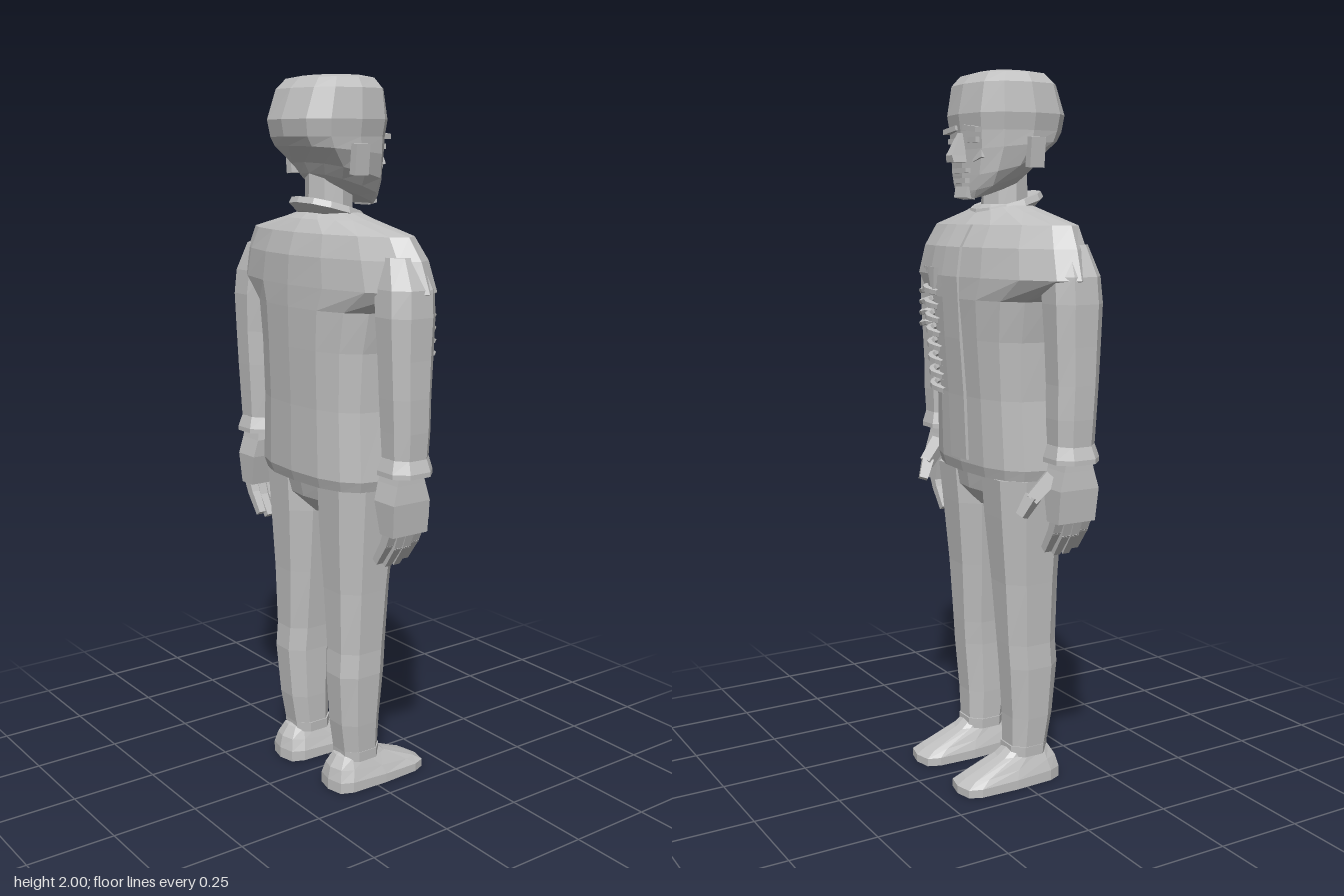
import * as THREE from 'three';

const grey = new THREE.MeshStandardMaterial({ color: 0xc0c0c0, flatShading: true, side: THREE.DoubleSide });
grey.name = 'plain grey';

// Skin of stacked rings, bottom to top.
// section: [y, centreX, halfWidth, zFront, zBack, squareness, tilt]; skip(j, i) leaves a quad open
function loft(name, sections, n = 8, skip = () => false) {
  const pos = [], idx = [];
  const off = n === 4 ? Math.PI / 4 : n === 8 ? Math.PI / 8 : 0;
  const bend = (v, p) => Math.sign(v) * Math.pow(Math.abs(v) + 1e-9, 2 / p);
  for (const [y, cx, hx, zf, zb, p = 2.5, tilt = 0] of sections) {
    for (let i = 0; i < n; i++) {
      const a = off + (i / n) * Math.PI * 2;
      const z = (zf + zb) / 2 + ((zb - zf) / 2) * bend(Math.sin(a), p);
      pos.push(cx + hx * bend(Math.cos(a), p), y + tilt * z, z);
    }
  }
  for (let j = 0; j < sections.length - 1; j++) {
    for (let i = 0; i < n; i++) {
      if (skip(j, i)) continue;
      const a = j * n + i, b = j * n + ((i + 1) % n);
      idx.push(a, a + n, b, b, a + n, b + n);
    }
  }
  // end caps
  [0, sections.length - 1].forEach((j, top) => {
    const [y, cx, , zf, zb, , tilt = 0] = sections[j], z = (zf + zb) / 2;
    const c = pos.length / 3;
    pos.push(cx, y + tilt * z, z);
    for (let i = 0; i < n; i++) {
      const a = j * n + i, b = j * n + ((i + 1) % n);
      top ? idx.push(c, b, a) : idx.push(c, a, b);
    }
  });
  const g = new THREE.BufferGeometry();
  g.setAttribute('position', new THREE.Float32BufferAttribute(pos, 3));
  g.setIndex(idx);
  g.computeVertexNormals();
  return part(name, g);
}

function part(name, geometry) {
  const m = new THREE.Mesh(geometry, grey);
  m.name = name;
  return m;
}

function box(name, w, h, d, x, y, z, rx = 0, rz = 0) {
  const m = part(name, new THREE.BoxGeometry(w, h, d));
  m.position.set(x, y, z);
  m.rotation.set(rx, 0, rz);
  return m;
}

// Tapered square bar between two points
function bar(name, from, to, r0, r1) {
  const a = new THREE.Vector3(...from), b = new THREE.Vector3(...to), d = b.clone().sub(a);
  const g = new THREE.CylinderGeometry(r1, r0, d.length(), 4);
  g.rotateY(Math.PI / 4);
  const m = part(name, g);
  m.position.copy(a).add(b).multiplyScalar(0.5);
  m.quaternion.setFromUnitVectors(new THREE.Vector3(0, 1, 0), d.normalize());
  return m;
}

function tube(name, points, r) {
  const curve = new THREE.CatmullRomCurve3(points.map(p => new THREE.Vector3(...p)));
  return part(name, new THREE.TubeGeometry(curve, 6, r, 5));
}

function makeTorso() {
  const g = new THREE.Group();
  g.name = 'torso';
  // jacket, open over the ribs on one side of the chest
  g.add(loft('jacket', [
    [0.90, 0, 0.235, -0.10, 0.155, 2.6],
    [0.93, 0, 0.245, -0.108, 0.165, 2.6],
    [1.12, 0, 0.235, -0.115, 0.165, 2.6],
    [1.28, 0, 0.245, -0.128, 0.17, 2.5],
    [1.39, 0, 0.27, -0.138, 0.172, 2.4],
    [1.45, 0, 0.415, -0.138, 0.172, 1.8],
    [1.53, 0, 0.385, -0.125, 0.168, 1.8],
    [1.59, 0, 0.345, -0.09, 0.15, 1.8],
    [1.625, 0, 0.17, -0.055, 0.125, 2],
    [1.645, 0, 0.09, -0.035, 0.10, 2],
  ], 16, (j, i) => j >= 2 && j <= 3 && (i === 13 || i === 14)));
  // front closure strip
  g.add(loft('frontStrip', [
    [0.94, 0, 0.045, -0.114, -0.09, 20], [1.12, 0, 0.045, -0.122, -0.09, 20],
    [1.28, 0, 0.045, -0.134, -0.1, 20], [1.45, 0, 0.045, -0.143, -0.1, 20],
    [1.53, 0, 0.04, -0.13, -0.09, 20], [1.59, 0, 0.04, -0.095, -0.06, 20],
  ], 4));
  g.add(loft('chestWall', [
    [1.08, 0.14, 0.08, -0.075, 0.05], [1.28, 0.14, 0.085, -0.09, 0.05], [1.44, 0.14, 0.09, -0.09, 0.05],
  ], 8));
  // exposed ribs
  for (let k = 0; k < 8; k++) {
    const y = 1.12 + k * 0.04, f = k * 0.003;
    g.add(tube('rib', [[0.085, y, -0.108 - f], [0.15, y + 0.005, -0.109 - f], [0.2, y + 0.012, -0.085 - f], [0.235, y + 0.02, -0.03]], 0.011));
  }
  // torn cloth along the top of the opening
  for (let k = 0; k < 5; k++)
    g.add(bar('tornCloth', [0.1 + k * 0.028, 1.47, -0.13 + k * 0.01], [0.1 + k * 0.028, 1.41 - (k % 2) * 0.02, -0.137 + k * 0.012], 0.018, 0.004));
  g.add(loft('collar', [
    [1.612, 0, 0.085, -0.05, 0.12, 2.2, 0.28], [1.63, 0, 0.106, -0.06, 0.14, 2.2, 0.28],
    [1.648, 0, 0.1, -0.055, 0.132, 2.2, 0.28], [1.642, 0, 0.072, -0.03, 0.1, 2.2, 0.28],
  ], 12));
  // trouser top
  g.add(loft('hips', [
    [0.80, 0, 0.04, -0.04, 0.08], [0.85, 0, 0.18, -0.08, 0.125], [0.92, 0, 0.23, -0.09, 0.14],
  ], 12));
  return g;
}

function makeArm(s) {
  const g = new THREE.Group();
  g.name = s > 0 ? 'leftArm' : 'rightArm';
  g.add(loft('sleeve', [
    [0.99, s * 0.345, 0.055, -0.025, 0.095], [1.09, s * 0.345, 0.062, -0.03, 0.1],
    [1.18, s * 0.345, 0.065, -0.03, 0.105], [1.28, s * 0.345, 0.066, -0.035, 0.11],
    [1.39, s * 0.342, 0.073, -0.04, 0.115], [1.46, s * 0.335, 0.076, -0.04, 0.11],
    [1.54, s * 0.31, 0.06, -0.02, 0.09],
  ], 8));
  g.add(loft('cuff', [
    [0.972, s * 0.345, 0.07, -0.036, 0.108], [0.985, s * 0.345, 0.07, -0.036, 0.108], [1.02, s * 0.345, 0.056, -0.027, 0.097],
  ], 8));
  // hand with curled fingers and thumb
  g.add(loft('palm', [
    [0.81, s * 0.345, 0.03, -0.025, 0.1, 10], [0.9, s * 0.34, 0.045, -0.025, 0.105, 10], [0.95, s * 0.337, 0.045, -0.01, 0.09, 10],
    [0.99, s * 0.34, 0.04, 0.0, 0.08, 10],
  ], 4));
  for (let k = 0; k < 4; k++) {
    const z = -0.005 + k * 0.029, d = k % 3 ? 0 : 0.012;
    g.add(bar('finger', [s * 0.35, 0.83, z], [s * 0.328, 0.768 + d, z], 0.02, 0.018));
    g.add(bar('fingertip', [s * 0.332, 0.775 + d, z], [s * 0.29, 0.713 + d, z], 0.018, 0.015));
  }
  g.add(bar('thumb', [s * 0.315, 0.93, -0.005], [s * 0.3, 0.87, -0.06], 0.028, 0.024));
  g.add(bar('thumbTip', [s * 0.302, 0.878, -0.055], [s * 0.285, 0.825, -0.08], 0.024, 0.018));
  // torn upper sleeve on one side
  if (s > 0) for (let k = 0; k < 4; k++) {
    const y = 1.29 + k * 0.033;
    g.add(tube('sleeveTear', [[0.285, y, -0.02], [0.315, y + 0.008, -0.043], [0.355, y, -0.043], [0.39, y + 0.006, -0.015]], 0.009));
  }
  return g;
}

function makeLeg(s) {
  const g = new THREE.Group();
  g.name = s > 0 ? 'leftLeg' : 'rightLeg';
  g.add(loft('trouserLeg', [
    [0.09, s * 0.123, 0.06, -0.03, 0.09], [0.2, s * 0.126, 0.066, -0.033, 0.108],
    [0.35, s * 0.13, 0.071, -0.045, 0.12], [0.42, s * 0.128, 0.072, -0.05, 0.115],
    [0.6, s * 0.124, 0.086, -0.062, 0.12], [0.79, s * 0.122, 0.103, -0.08, 0.13],
    [0.9, s * 0.125, 0.108, -0.09, 0.135],
  ], 8));
  g.add(loft('trouserCuff', [
    [0.085, s * 0.123, 0.062, -0.035, 0.092], [0.115, s * 0.123, 0.064, -0.035, 0.094],
  ], 8));
  // shoe: low toe, raised heel
  g.add(loft('shoe', [
    [0, s * 0.125, 0.068, -0.192, 0.13, 4], [0.028, s * 0.125, 0.068, -0.192, 0.13, 4, 0.03],
    [0.055, s * 0.125, 0.058, -0.165, 0.122, 3.5, 0.1], [0.088, s * 0.125, 0.045, -0.06, 0.1, 3, 0.1],
    [0.105, s * 0.125, 0.04, -0.03, 0.085, 3],
  ], 12));
  return g;
}

function makeHead() {
  const g = new THREE.Group();
  g.name = 'head';
  g.add(part('neck', new THREE.CylinderGeometry(0.064, 0.068, 0.16, 8)));
  g.children[0].position.set(0, 1.68, 0.035);
  // skull with tilted jaw line
  g.add(loft('skull', [
    [1.69, 0, 0.075, -0.095, 0.07, 2.4, 0.35], [1.712, 0, 0.105, -0.1, 0.1, 2.4, 0.33],
    [1.745, 0, 0.13, -0.1, 0.115, 2.5, 0.25], [1.8, 0, 0.148, -0.1, 0.165, 2.6, 0.1],
    [1.84, 0, 0.15, -0.104, 0.18, 2.6], [1.885, 0, 0.158, -0.11, 0.188, 2.6],
    [1.965, 0, 0.148, -0.094, 0.157, 2.8], [1.992, 0, 0.128, -0.07, 0.13, 2.8], [2.0, 0, 0.085, -0.04, 0.09, 2.8],
  ], 12));
  // facial features
  g.add(loft('nose', [
    [1.757, 0, 0.026, -0.143, -0.08, 3], [1.775, 0, 0.022, -0.147, -0.08, 3], [1.835, 0, 0.011, -0.112, -0.08, 3],
  ], 4));
  for (const s of [-1, 1]) {
    g.add(box('brow', 0.07, 0.014, 0.03, s * 0.055, 1.845, -0.094, 0, -s * 0.12));
    g.add(box('eye', 0.045, 0.014, 0.02, s * 0.055, 1.815, -0.091));
    g.add(box('cheek', 0.045, 0.03, 0.02, s * 0.065, 1.775, -0.08, 0.2, s * 0.3));
    g.add(box('ear', 0.024, 0.08, 0.045, s * 0.152, 1.782, 0.042, 0, -s * 0.1));
  }
  g.add(box('upperLip', 0.075, 0.013, 0.022, 0, 1.735, -0.099));
  g.add(box('lowerLip', 0.065, 0.013, 0.022, 0, 1.708, -0.097));
  g.add(box('chin', 0.065, 0.03, 0.03, 0, 1.675, -0.09, 0.2));
  return g;
}

export function createModel() {
  const model = new THREE.Group();
  model.name = 'figure';
  model.add(makeTorso(), makeHead());
  for (const s of [-1, 1]) model.add(makeArm(s), makeLeg(s));
  return model;
}
